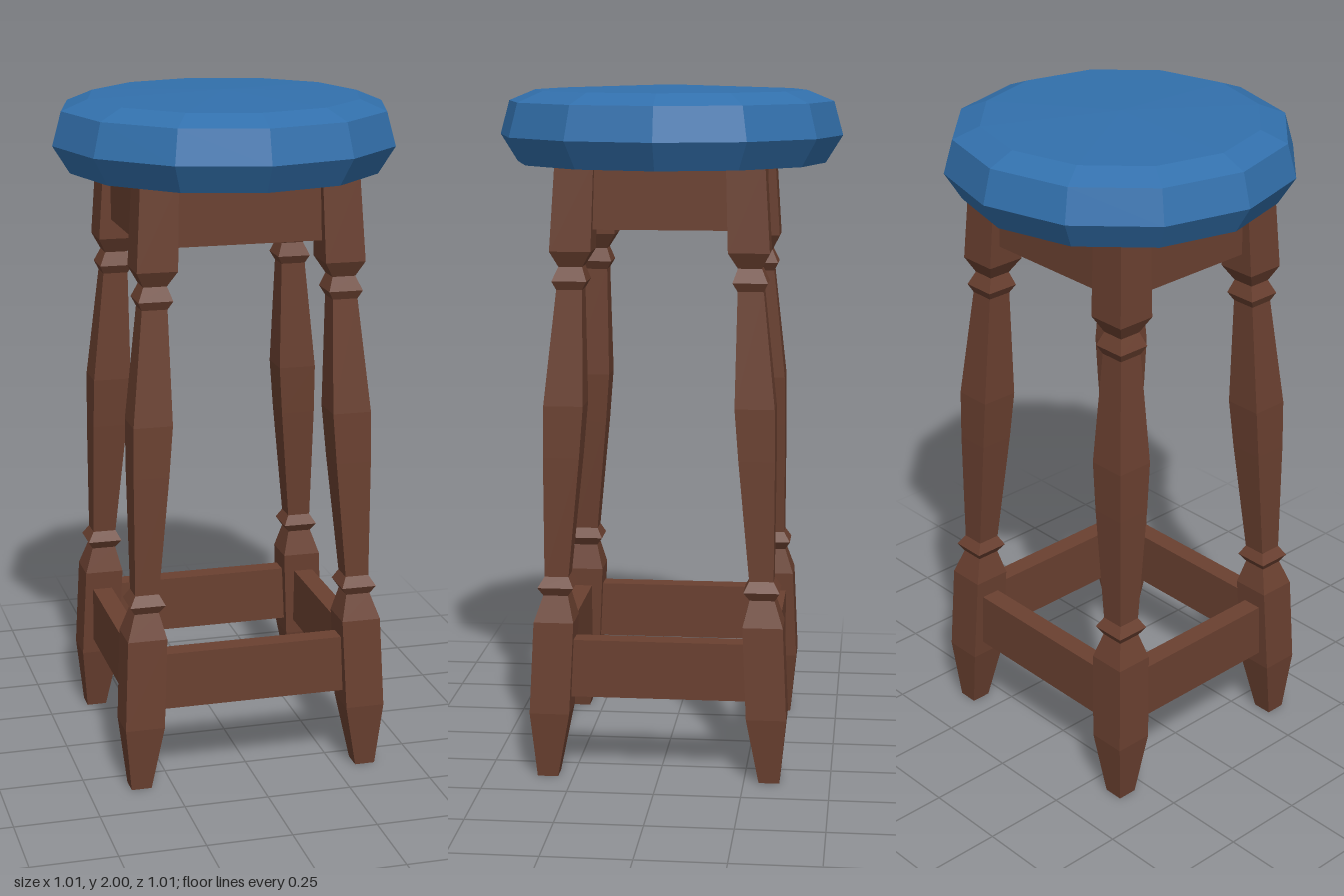
import * as THREE from 'three';

const wood = new THREE.MeshStandardMaterial({ color: 0x6a4030, flatShading: true });
wood.name = 'brown wood';
const fabric = new THREE.MeshStandardMaterial({ color: 0x3270ac, flatShading: true });
fabric.name = 'blue upholstery';

// Leg profile from the floor up: [height, half width]
const LEG = [
  [0.005, 0.03], [0.2, 0.058], [0.47, 0.058], [0.545, 0.036], [0.57, 0.052], [0.6, 0.035],
  [0.95, 0.052], [1.1, 0.057], [1.43, 0.037], [1.455, 0.05], [1.495, 0.034], [1.54, 0.059], [1.79, 0.055],
];

// Legs splay outward towards the floor; depth is slightly less than width
const legX = (y) => 0.345 - 0.046 * y;
const legZ = (y) => legX(y) - 0.021;

// Square turned leg, leaning along its centre line
function makeLeg(sx, sz) {
  const rows = LEG.length - 1;
  const indexed = new THREE.CylinderGeometry(Math.SQRT2, Math.SQRT2, rows, 4, rows);
  indexed.rotateY(Math.PI / 4);
  const geo = indexed.toNonIndexed();
  const p = geo.attributes.position;
  for (let i = 0; i < p.count; i++) {
    const [y, half] = LEG[Math.round(p.getY(i) + rows / 2)];
    p.setXYZ(i, sx * legX(y) + p.getX(i) * half, y, sz * legZ(y) + p.getZ(i) * half);
  }
  geo.computeVertexNormals();
  return new THREE.Mesh(geo, wood);
}

// Four boards joining the legs between two heights
function makeFrame(name, y0, y1, thickness) {
  const frame = new THREE.Group();
  frame.name = name;
  const y = (y0 + y1) / 2, x = legX(y), z = legZ(y);
  for (const s of [-1, 1]) {
    const across = new THREE.Mesh(new THREE.BoxGeometry(2 * x, y1 - y0, thickness), wood);
    across.position.set(0, y, s * z);
    across.name = s > 0 ? 'frontRail' : 'backRail';
    const along = new THREE.Mesh(new THREE.BoxGeometry(thickness, y1 - y0, 2 * z), wood);
    along.position.set(s * x, y, 0);
    along.name = s > 0 ? 'leftRail' : 'rightRail';
    frame.add(across, along);
  }
  return frame;
}

export function createModel() {
  const stool = new THREE.Group();
  stool.name = 'barStool';

  // Twelve-sided padded seat
  const profile = [[0, 1.775], [0.455, 1.775], [0.505, 1.855], [0.478, 1.953], [0.4, 1.985], [0, 2]]
    .map(([r, y]) => new THREE.Vector2(r, y));
  const seat = new THREE.Mesh(new THREE.LatheGeometry(profile, 12), fabric);
  seat.name = 'seatCushion';
  stool.add(seat);

  // Legs
  for (const sx of [-1, 1]) for (const sz of [-1, 1]) {
    const leg = makeLeg(sx, sz);
    leg.name = (sz > 0 ? 'front' : 'back') + (sx > 0 ? 'Left' : 'Right') + 'Leg';
    stool.add(leg);
  }

  // Apron under the seat and footrest near the floor
  stool.add(makeFrame('apron', 1.6, 1.785, 0.06), makeFrame('footrest', 0.245, 0.415, 0.06));
  return stool;
}
